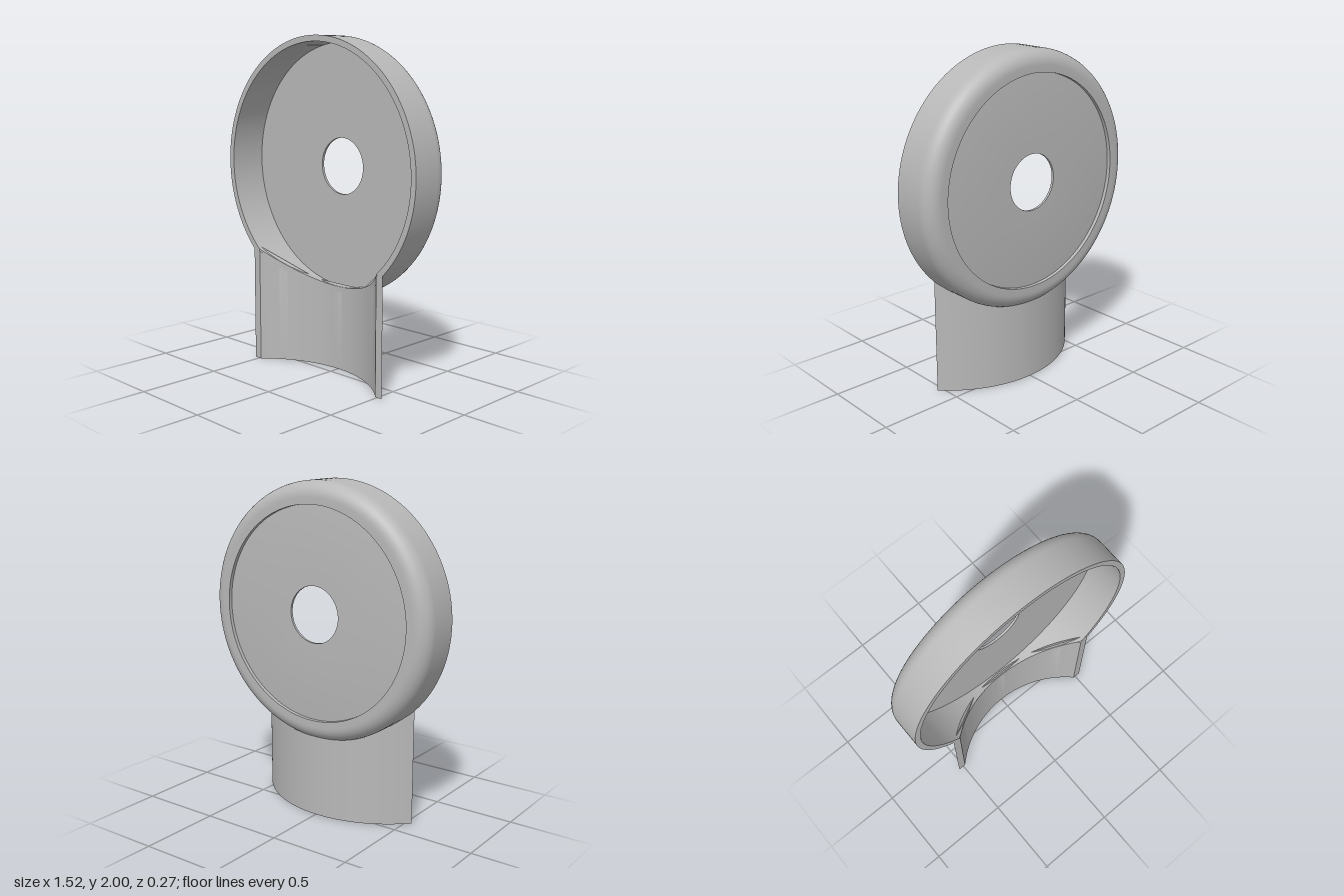
import * as THREE from 'three';
import { toCreasedNormals } from 'three/addons/utils/BufferGeometryUtils.js';

const CENTRE_Y = 1.24;      // height of the dish axis
const FRONT = 0.135;        // z of the open front, the back is at -FRONT
const ARC_Z = 0.626;        // axis of the curved stem
const R_OUT = 0.726, R_IN = 0.691;

// Ring turned about the z axis from a closed counter-clockwise (radius, z) profile
function turned(profile) {
  const points = [...profile, profile[0]].map(([r, z]) => new THREE.Vector2(r, z));
  const geometry = new THREE.LatheGeometry(points, 144);
  geometry.rotateX(Math.PI / 2);
  geometry.translate(0, CENTRE_Y, 0);
  return geometry;
}

// Rim with a rounded back edge, cut away at the bottom where the stem channel enters
function rimGeometry() {
  const profile = [[0.63, -0.097], [0.63, -FRONT]];
  for (let i = 0; i <= 10; i++) {
    const a = (i / 10) * Math.PI / 2;
    profile.push([0.67 + 0.09 * Math.sin(a), -0.045 - 0.09 * Math.cos(a)]);
  }
  profile.push([0.76, FRONT], [0.725, FRONT], [0.725, -0.097]);
  const geometry = turned(profile);
  const p = geometry.attributes.position;
  for (let i = 0; i < p.count; i++) {
    const x = p.getX(i);
    if (p.getY(i) < CENTRE_Y && Math.abs(x) < 0.6) {
      const channel = ARC_Z - Math.sqrt(R_IN * R_IN - x * x);
      p.setZ(i, Math.min(p.getZ(i), channel));
    }
  }
  return toCreasedNormals(geometry, 0.5);
}

// Curved stem whose top follows the circle of the rim
function stemGeometry() {
  const outer = Math.asin(0.535 / R_OUT), inner = Math.asin(0.486 / R_IN), up = Math.PI / 2;
  const shape = new THREE.Shape();
  shape.absarc(0, -ARC_Z, R_OUT, up - outer, up + outer, false);
  shape.absarc(0, -ARC_Z, R_IN, up + inner, up - inner, true);
  const geometry = new THREE.ExtrudeGeometry(shape, { depth: 1, bevelEnabled: false, curveSegments: 48 });
  geometry.rotateX(-Math.PI / 2);
  const p = geometry.attributes.position;
  for (let i = 0; i < p.count; i++) {
    const x = p.getX(i);
    if (p.getY(i) > 0.5) p.setY(i, CENTRE_Y - Math.sqrt(0.735 ** 2 - x * x));
  }
  return toCreasedNormals(geometry, 0.5);
}

export function createModel() {
  const grey = new THREE.MeshStandardMaterial({ color: 0xb8b8b8 });
  grey.name = 'grey';
  const group = new THREE.Group();
  group.name = 'dishOnStem';

  const add = (name, geometry) => {
    const mesh = new THREE.Mesh(geometry, grey);
    mesh.name = name;
    group.add(mesh);
  };

  add('rim', rimGeometry());
  // Thin recessed plate with a round centre hole
  add('backPlate', toCreasedNormals(
    turned([[0.168, -0.112], [0.64, -0.112], [0.727, -0.097], [0.168, -0.097]]), 0.5));
  add('stem', stemGeometry());
  return group;
}
